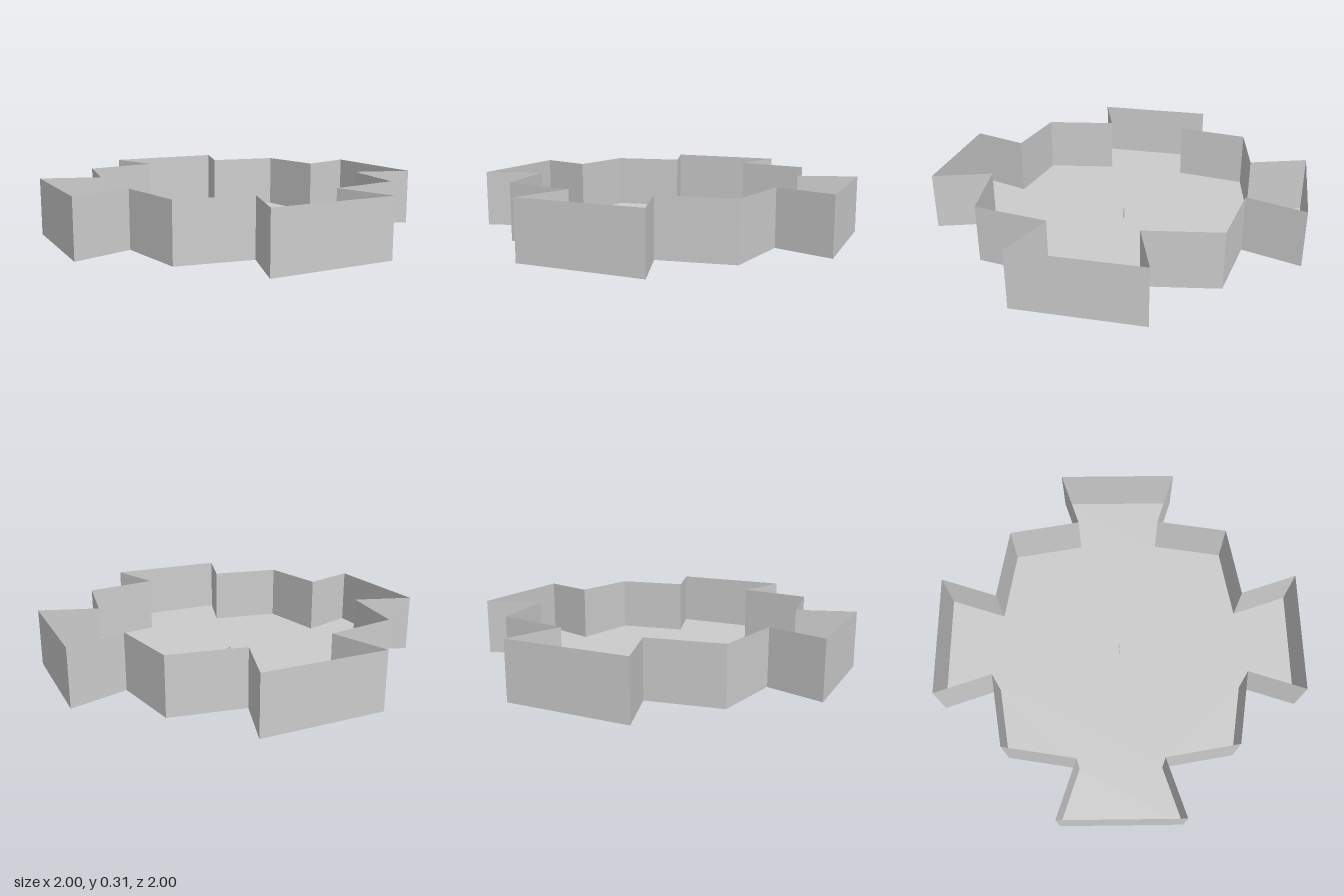
import * as THREE from 'three';

const WALL_HEIGHT = 0.31;

// One quarter of the star-shaped plan; the other three are turned copies.
const QUARTER = [[1, -0.333], [1, 0.333], [0.69, 0.23], [0.625, 0.625], [0.23, 0.69]];

function outline() {
  const points = [];
  for (let turn = 0; turn < 4; turn++) {
    for (const [x, y] of QUARTER) {
      const p = new THREE.Vector2(x, y);
      for (let i = 0; i < turn; i++) p.set(-p.y, p.x);
      // The next quarter starts where its bastion's first corner lies
      points.push(p);
    }
  }
  return points;
}

export function createModel() {
  const model = new THREE.Group();
  model.name = 'bastionFort';
  const stone = new THREE.MeshStandardMaterial({ color: 0xcccccc, side: THREE.DoubleSide });
  stone.name = 'stone grey';

  const add = (parent, name, geometry, x = 0, y = 0, z = 0) => {
    const mesh = new THREE.Mesh(geometry, stone);
    mesh.name = name;
    mesh.position.set(x, y, z);
    parent.add(mesh);
    return mesh;
  };

  // Floor: thin sheet in the shape of the plan
  const plan = outline();
  add(model, 'floor', new THREE.ShapeGeometry(new THREE.Shape(plan)).rotateX(-Math.PI / 2));

  // Walls: one thin upright sheet per side of the plan
  const corners = [];
  plan.forEach((a, i) => {
    const b = plan[(i + 1) % plan.length];
    const h = WALL_HEIGHT;
    corners.push(a.x, 0, -a.y, b.x, 0, -b.y, b.x, h, -b.y);
    corners.push(a.x, 0, -a.y, b.x, h, -b.y, a.x, h, -a.y);
  });
  const walls = new THREE.BufferGeometry();
  walls.setAttribute('position', new THREE.Float32BufferAttribute(corners, 3));
  walls.computeVertexNormals();
  add(model, 'walls', walls);

  // Tiny standing figure with arms held out, for scale
  const figure = new THREE.Group();
  figure.name = 'figure';
  model.add(figure);
  add(figure, 'torso', new THREE.BoxGeometry(0.013, 0.022, 0.008), 0, 0.038, 0);
  add(figure, 'head', new THREE.SphereGeometry(0.005, 10, 8), 0, 0.055, 0).scale.y = 1.2;
  for (const side of [-1, 1]) {
    const name = side > 0 ? 'left' : 'right';
    add(figure, name + 'Leg', new THREE.CylinderGeometry(0.0035, 0.0025, 0.03, 8), side * 0.004, 0.015, 0);
    add(figure, name + 'Foot', new THREE.BoxGeometry(0.004, 0.003, 0.009), side * 0.004, 0.0015, 0.002);
    add(figure, name + 'Arm', new THREE.CylinderGeometry(0.0018, 0.0025, 0.024, 8).rotateZ(-side * Math.PI / 2),
      side * 0.018, 0.046, 0);
  }
  return model;
}
